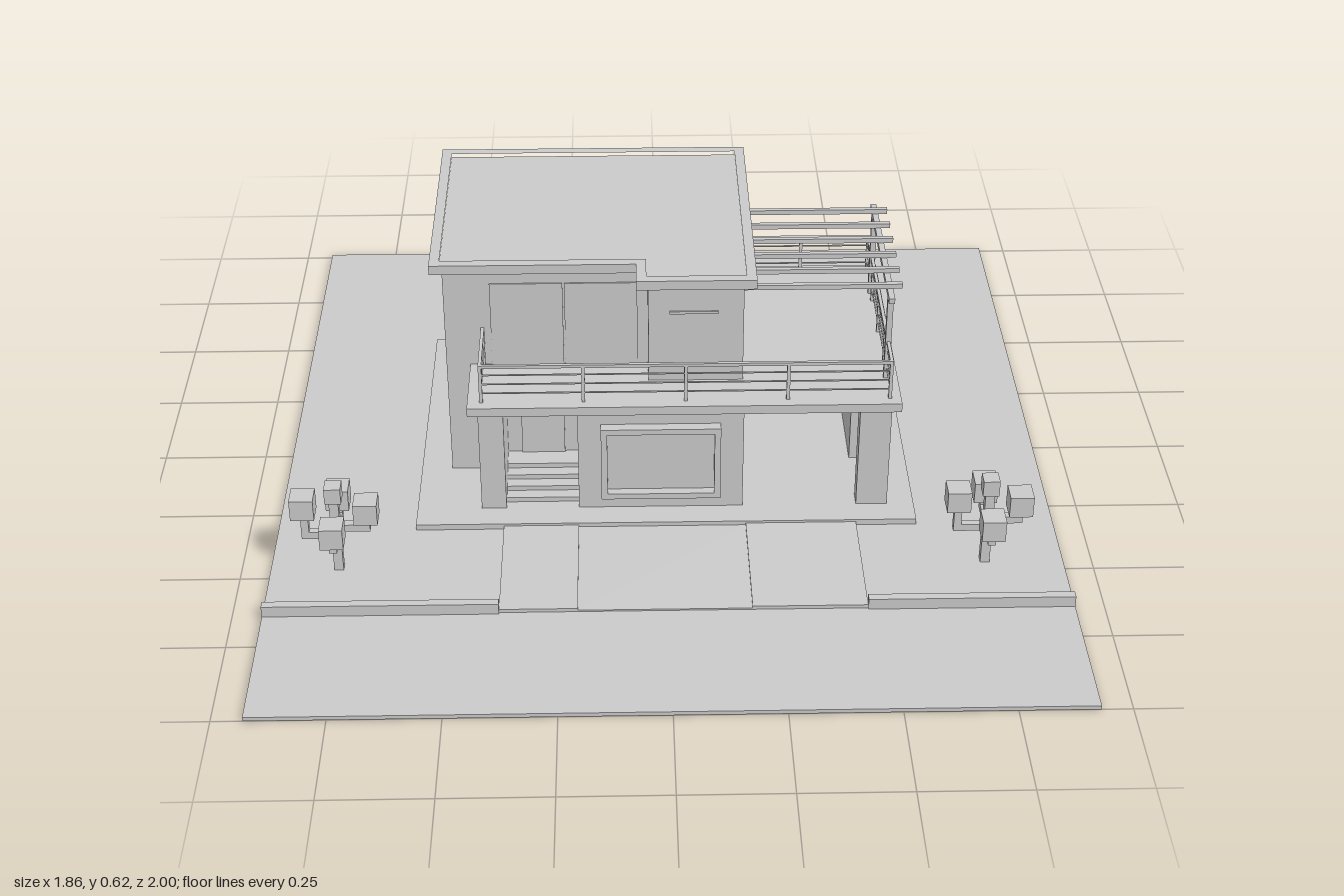
import * as THREE from 'three';

const mat = new THREE.MeshStandardMaterial({ color: 0xcccccc, flatShading: true });

// Box given by its min and max on each axis
function box(parent, name, x0, x1, y0, y1, z0, z1) {
  const m = new THREE.Mesh(new THREE.BoxGeometry(x1 - x0, y1 - y0, z1 - z0), mat);
  m.position.set((x0 + x1) / 2, (y0 + y1) / 2, (z0 + z1) / 2);
  m.name = name;
  parent.add(m);
  return m;
}

function group(parent, name) {
  const g = new THREE.Group();
  g.name = name;
  parent.add(g);
  return g;
}

// Plan outline [x, z] raised from y0 to y1, optionally with a hole
function prism(parent, name, pts, y0, y1, hole) {
  const v = (list) => list.map(([x, z]) => new THREE.Vector2(x, -z));
  const shape = new THREE.Shape(v(pts));
  if (hole) shape.holes.push(new THREE.Path(v(hole)));
  const geo = new THREE.ExtrudeGeometry(shape, { depth: y1 - y0, bevelEnabled: false });
  geo.rotateX(-Math.PI / 2);
  const m = new THREE.Mesh(geo, mat);
  m.position.y = y0;
  m.name = name;
  parent.add(m);
}

// House plan with a stepped front, grown outward by d
const plan = (d) => [
  [-0.525 - d, -0.44 - d], [0.185 + d, -0.44 - d], [0.185 + d, 0.175 + d],
  [-0.04 - d, 0.175 + d], [-0.04 - d, 0.095 + d], [-0.525 - d, 0.095 + d],
];

// Cubic tree: trunk, four bent branches and five leaf blocks
function tree(parent, name, x, z) {
  const g = group(parent, name);
  g.position.set(x, 0, z);
  box(g, 'trunk', -0.011, 0.011, 0.01, 0.205, -0.011, 0.011);
  box(g, 'topLeaves', -0.019, 0.019, 0.205, 0.245, -0.019, 0.019);
  const armHeights = [0.12, 0.105, 0.1, 0.11];
  const leafHeights = [0.15, 0.14, 0.165, 0.135];
  for (let i = 0; i < 4; i++) {
    const b = group(g, 'branch');
    b.rotation.y = i * Math.PI / 2;
    const a = armHeights[i], l = leafHeights[i];
    box(b, 'arm', 0.01, 0.08, a, a + 0.018, -0.009, 0.009);
    box(b, 'riser', 0.062, 0.08, a, l, -0.009, 0.009);
    box(b, 'leaves', 0.045, 0.1, l, l + 0.054, -0.027, 0.027);
  }
}

// Railing run between two plan points with evenly spaced posts
function railing(parent, x0, z0, x1, z1, spans) {
  const g = group(parent, 'railing');
  const t = 0.004, w = 0.0015;
  const ax = Math.min(x0, x1), bx = Math.max(x0, x1);
  const az = Math.min(z0, z1), bz = Math.max(z0, z1);
  box(g, 'topRail', ax - t, bx + t, 0.425, 0.433, az - t, bz + t);
  for (const y of [0.355, 0.38, 0.405]) box(g, 'wire', ax - w, bx + w, y - w, y + w, az - w, bz + w);
  for (let i = 0; i <= spans; i++) {
    const x = x0 + (x1 - x0) * i / spans, z = z0 + (z1 - z0) * i / spans;
    box(g, 'post', x - t, x + t, 0.33, 0.43, z - t, z + t);
  }
}

export function createModel() {
  const root = new THREE.Group();

  // Ground, paving and kerbs
  const site = group(root, 'site');
  box(site, 'ground', -0.93, 0.93, 0, 0.01, -1, 1);
  box(site, 'plinth', -0.6, 0.6, 0.01, 0.025, -0.51, 0.33);
  box(site, 'leftPath', 0.19, 0.455, 0.01, 0.019, 0.33, 0.65);
  box(site, 'driveway', -0.21, 0.19, 0.01, 0.014, 0.33, 0.65);
  box(site, 'rightPath', -0.39, -0.21, 0.01, 0.019, 0.33, 0.65);
  box(site, 'rightKerb', -0.93, -0.39, 0.01, 0.038, 0.635, 0.655);
  box(site, 'leftKerb', 0.455, 0.93, 0.01, 0.038, 0.635, 0.655);
  tree(root, 'rightTree', -0.77, 0.472);
  tree(root, 'leftTree', 0.745, 0.472);

  // Main block and ground floor front
  const house = group(root, 'house');
  prism(house, 'walls', plan(0), 0.025, 0.6);
  box(house, 'frontRoom', -0.21, 0.185, 0.025, 0.31, 0.09, 0.265);
  box(house, 'porchWall', -0.445, -0.385, 0.025, 0.31, 0.09, 0.265);
  box(house, 'frontDoor', -0.35, -0.245, 0.075, 0.27, 0.09, 0.1);
  for (let i = 0; i < 4; i++) {
    box(house, 'step', -0.385, -0.21, 0.025, 0.075 - i * 0.0125, 0.09, 0.15 + i * 0.03);
  }

  // Framed front window
  const win = group(house, 'window');
  const rect = (x0, x1, y0, y1) => [[x0, y0], [x1, y0], [x1, y1], [x0, y1]].map(([x, y]) => new THREE.Vector2(x, y));
  const frame = new THREE.Shape(rect(-0.155, 0.13, 0.065, 0.265));
  frame.holes.push(new THREE.Path(rect(-0.14, 0.115, 0.08, 0.25)));
  const frameMesh = new THREE.Mesh(new THREE.ExtrudeGeometry(frame, { depth: 0.027, bevelEnabled: false }), mat);
  frameMesh.position.z = 0.263;
  frameMesh.name = 'windowFrame';
  win.add(frameMesh);
  box(win, 'windowPane', -0.14, 0.115, 0.08, 0.25, 0.26, 0.268);

  // Upper floor sliding doors and slit window
  for (const [a, b] of [[-0.415, -0.242], [-0.238, -0.065]]) {
    box(house, 'slidingDoor', a, b, 0.33, 0.555, 0.09, 0.098);
  }
  box(house, 'slitWindow', 0.01, 0.125, 0.515, 0.522, 0.17, 0.178);

  // Roof slab with raised rim
  const roof = group(root, 'roof');
  prism(roof, 'roofDeck', plan(0.005), 0.596, 0.61);
  prism(roof, 'roofRim', plan(0.028), 0.596, 0.62, plan(0.004));

  // Balcony wrapping the front and left side
  const balcony = group(root, 'balcony');
  prism(balcony, 'balconySlab', [
    [0.18, -0.36], [0.555, -0.36], [0.555, 0.29], [-0.468, 0.29], [-0.468, 0.09], [0.18, 0.09],
  ], 0.307, 0.33);
  for (const [z0, z1] of [[0.225, 0.265], [-0.13, 0.07], [-0.335, -0.295]]) {
    box(balcony, 'pillar', 0.46, 0.535, 0.025, 0.31, z0, z1);
  }
  railing(balcony, -0.435, 0.262, 0.528, 0.262, 4);
  railing(balcony, 0.528, 0.262, 0.528, -0.332, 4);
  railing(balcony, 0.528, -0.332, 0.185, -0.332, 2);
  railing(balcony, -0.435, 0.095, -0.435, 0.262, 1);

  // Pergola over the side terrace
  const pergola = group(root, 'pergola');
  for (const z of [0.17, -0.225]) box(pergola, 'pergolaPost', 0.521, 0.535, 0.33, 0.552, z - 0.007, z + 0.007);
  box(pergola, 'pergolaBeam', 0.521, 0.535, 0.55, 0.564, -0.26, 0.2);
  for (let i = 0; i < 6; i++) {
    const z = -0.215 + i * 0.0725;
    box(pergola, 'pergolaSlat', 0.18, 0.557, 0.564, 0.576, z - 0.006, z + 0.006);
  }
  return root;
}
